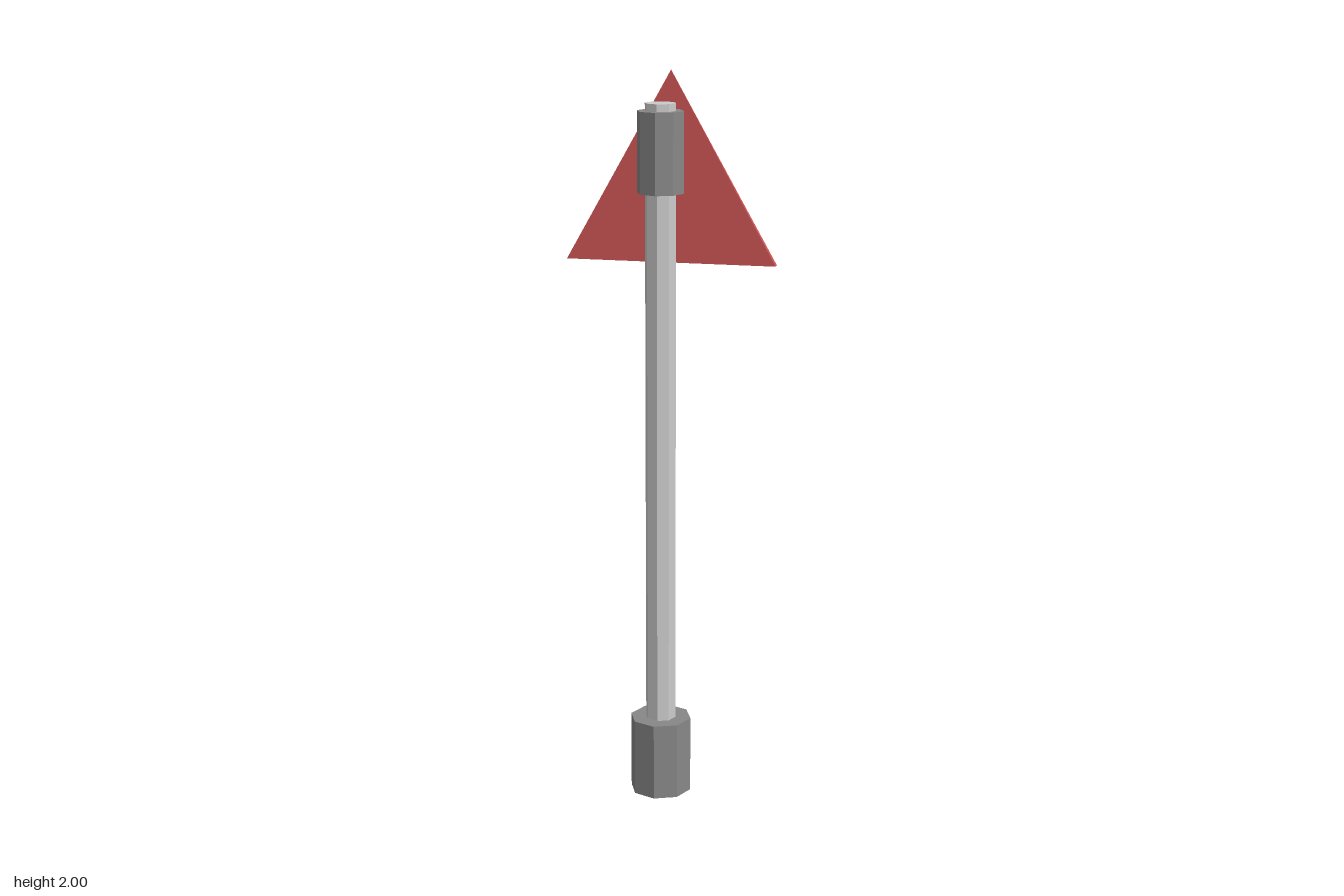
import * as THREE from 'three';

const POLE_X = -0.011, POLE_Z = 0.01;

function mesh(name, geometry, color = 0xcccccc) {
  const m = new THREE.Mesh(geometry, new THREE.MeshStandardMaterial({ color, flatShading: true }));
  m.name = name;
  return m;
}

// Upright octagonal prism on the pole axis
function octagon(name, radius, y0, y1, color) {
  const m = mesh(name, new THREE.CylinderGeometry(radius, radius, y1 - y0, 8), color);
  m.position.set(POLE_X, (y0 + y1) / 2, POLE_Z);
  return m;
}

// Thin four-sided pyramid: rectangular foot, pointed apex
function triangularPlate(name, width, depth, y0, y1, z, color) {
  const g = new THREE.ConeGeometry(Math.SQRT1_2, y1 - y0, 4);
  g.rotateY(Math.PI / 4);
  g.scale(width, 1, depth);
  const m = mesh(name, g, color);
  m.position.set(0, (y0 + y1) / 2, z);
  return m;
}

export function createModel() {
  const group = new THREE.Group();
  group.name = 'warningSign';

  // Post with its foot and the collar that holds the sign
  group.add(octagon('base', 0.085, 0, 0.215, 0x888888));
  group.add(octagon('pole', 0.042, 0.01, 1.92));
  group.add(octagon('collar', 0.063, 1.685, 1.9, 0x888888));

  // Block joining collar and sign
  const bracket = mesh('bracket', new THREE.BoxGeometry(0.084, 0.18, 0.056));
  bracket.position.set(POLE_X, 1.79, -0.028);
  group.add(bracket);

  // Red border plate and pale panel behind it
  group.add(triangularPlate('signBorder', 0.574, 0.02, 1.49, 2, -0.065, 0xcc5555));
  group.add(triangularPlate('signPanel', 0.406, 0.021, 1.555, 1.915, -0.0865));

  return group;
}
